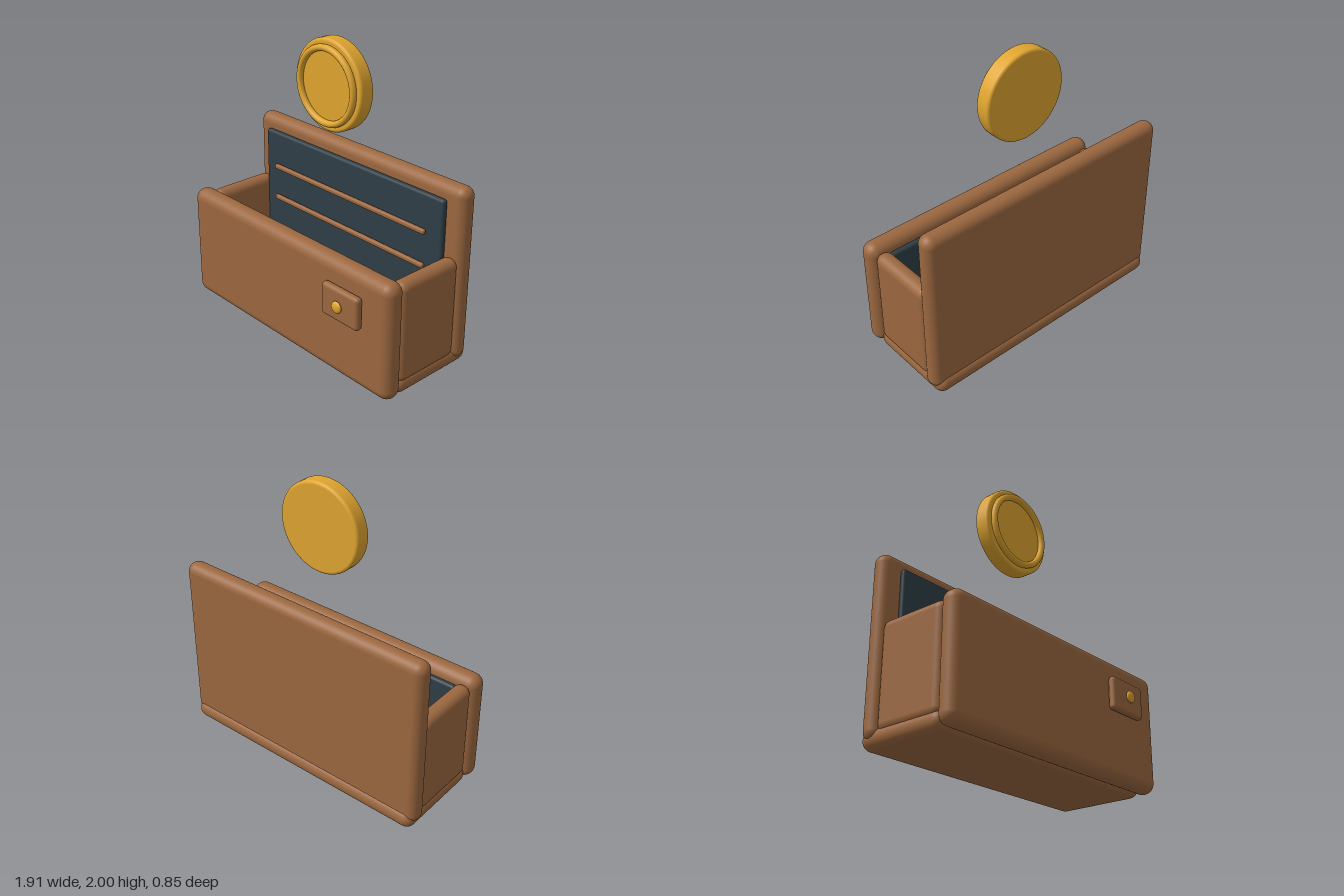
import * as THREE from 'three';
import { RoundedBoxGeometry } from 'three/addons/geometries/RoundedBoxGeometry.js';

const leather = new THREE.MeshStandardMaterial({ color: 0x9c6840 });
const lining = new THREE.MeshStandardMaterial({ color: 0x2f3e46 });
const gold = new THREE.MeshStandardMaterial({ color: 0xe0a530 });

export function createModel() {
  const model = new THREE.Group();

  function add(name, geometry, material, x = 0, y = 0, z = 0, parent = model) {
    const mesh = new THREE.Mesh(geometry, material);
    mesh.name = name;
    mesh.position.set(x, y, z);
    parent.add(mesh);
    return mesh;
  }

  // Rounded slab given by its extents on each axis
  function slab(name, material, [x0, x1], [y0, y1], [z0, z1], radius) {
    const geometry = new RoundedBoxGeometry(x1 - x0, y1 - y0, z1 - z0, 6, radius);
    return add(name, geometry, material, (x0 + x1) / 2, (y0 + y1) / 2, (z0 + z1) / 2);
  }

  // Leather body: front, taller back, base and two sides
  slab('frontPanel', leather, [-0.955, 0.955], [0.01, 0.81], [0.19, 0.335], 0.07);
  slab('backPanel', leather, [-0.955, 0.955], [0.045, 1.235], [-0.405, -0.275], 0.063);
  slab('base', leather, [-0.935, 0.935], [0, 0.13], [-0.425, 0.22], 0.063);
  slab('leftSide', leather, [0.818, 0.935], [0.08, 0.775], [-0.3, 0.205], 0.056);
  slab('rightSide', leather, [-0.935, -0.818], [0.08, 0.775], [-0.3, 0.205], 0.056);

  // Dark linings inside the pocket
  slab('backLining', lining, [-0.83, 0.83], [0.13, 1.145], [-0.28, -0.235], 0.02);
  slab('frontLining', lining, [-0.83, 0.83], [0.13, 0.74], [0.152, 0.195], 0.02);

  // Card slot trims
  for (const y of [0.9, 0.665]) {
    slab('cardSlotTrim', leather, [-0.71, 0.71], [y - 0.018, y + 0.018], [-0.232, -0.2], 0.014);
  }

  // Clasp tab with its stud
  slab('claspTab', leather, [0.43, 0.745], [0.45, 0.673], [0.335, 0.39], 0.025);
  const stud = add('claspStud', new THREE.SphereGeometry(0.04, 32, 20), gold, 0.586, 0.563, 0.405);
  stud.scale.z = 0.45;

  // Floating coin: disc with rounded edges and a raised ring on the front
  const coin = new THREE.Group();
  coin.name = 'coin';
  coin.position.set(0, 1.7, -0.11);
  model.add(coin);
  const r = 0.3, h = 0.055, b = 0.02;
  const shape = new THREE.Shape().absarc(0, 0, r - b, 0, Math.PI * 2);
  const discGeometry = new THREE.ExtrudeGeometry(shape, {
    depth: 2 * (h - b), bevelSize: b, bevelThickness: b, bevelSegments: 5, curveSegments: 48,
  });
  discGeometry.dispose();
  const profile = [new THREE.Vector2(0, -h), new THREE.Vector2(r - b, -h)];
  for (const [cy, start] of [[b - h, -Math.PI / 2], [h - b, 0]]) {
    for (let i = 0; i <= 6; i++) {
      const a = start + (i / 6) * Math.PI / 2;
      profile.push(new THREE.Vector2(r - b + b * Math.cos(a), cy + b * Math.sin(a)));
    }
  }
  profile.push(new THREE.Vector2(r - b, h), new THREE.Vector2(0, h));
  const disc = add('coinDisc', new THREE.LatheGeometry(profile, 64), gold, 0, 0, 0, coin);
  disc.rotation.x = Math.PI / 2;
  const ring = add('coinRing', new THREE.TorusGeometry(0.242, 0.022, 16, 64), gold, 0, 0, h + 0.011, coin);
  ring.scale.z = 1.1;

  return model;
}
